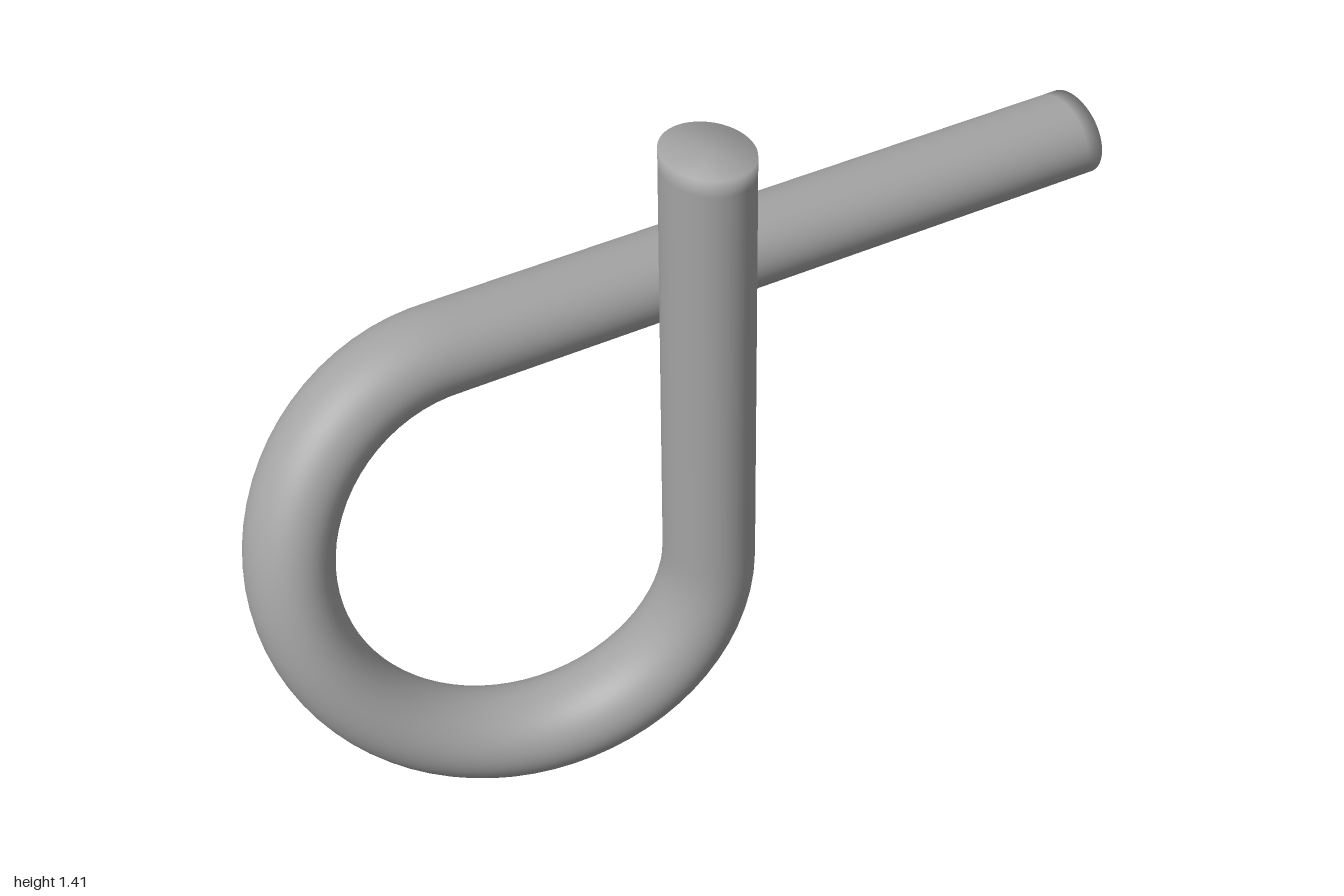
import * as THREE from 'three';
import { mergeVertices } from 'three/addons/utils/BufferGeometryUtils.js';

const R = 0.385, CX = -0.529, CY = 0.474;   // loop radius and centre
const TUBE = 0.087, DEPTH = 1.2;            // tube radius, stretch of its section along z
const Z = 0.195 / DEPTH;                    // z offset of each straight end
const TOP = 1.408, END = 1;                 // tips of the upright and the bar
const STEPS = 120, SIDES = 48;

// Upright leg, three-quarter loop easing from front to back, then the bar.
class LoopPath extends THREE.Curve {
  constructor() {
    super();
    this.arcLengthDivisions = 600;
    this.leg = TOP - CY;
    this.arc = R * Math.PI * 1.5;
    this.bar = END - CX;
  }
  getPoint(t, target = new THREE.Vector3()) {
    const s = t * (this.leg + this.arc + this.bar);
    if (s < this.leg) return target.set(CX + R, TOP - s, Z);
    const u = (s - this.leg) / this.arc;
    if (u > 1) return target.set(CX + s - this.leg - this.arc, CY + R, -Z);
    const a = -u * Math.PI * 1.5;
    return target.set(CX + R * Math.cos(a), CY + R * Math.sin(a), Z * Math.cos(u * Math.PI));
  }
}

// Closed rod: a tube whose flat ends share their rim, so shading runs on over them.
function rodGeometry(path) {
  const tube = new THREE.TubeGeometry(path, STEPS, TUBE, SIDES, false);
  const positions = [...tube.attributes.position.array];
  const index = [...tube.index.array];
  const centre = positions.length / 3;
  const lastRing = STEPS * (SIDES + 1);
  positions.push(...path.getPoint(0).toArray(), ...path.getPoint(1).toArray());
  for (let i = 0; i < SIDES; i++) {
    index.push(centre, i, i + 1);
    index.push(centre + 1, lastRing + i + 1, lastRing + i);
  }
  const geometry = new THREE.BufferGeometry();
  geometry.setAttribute('position', new THREE.Float32BufferAttribute(positions, 3));
  geometry.setIndex(index);
  geometry.scale(1, 1, DEPTH);
  const closed = mergeVertices(geometry, 1e-5);
  closed.computeVertexNormals();
  return closed;
}

export function createModel() {
  const group = new THREE.Group();
  group.name = 'loopedRod';

  // Bent rod
  const material = new THREE.MeshStandardMaterial({ color: 0xa3a3a3 });
  const rod = new THREE.Mesh(rodGeometry(new LoopPath()), material);
  rod.name = 'rod';
  group.add(rod);

  return group;
}
